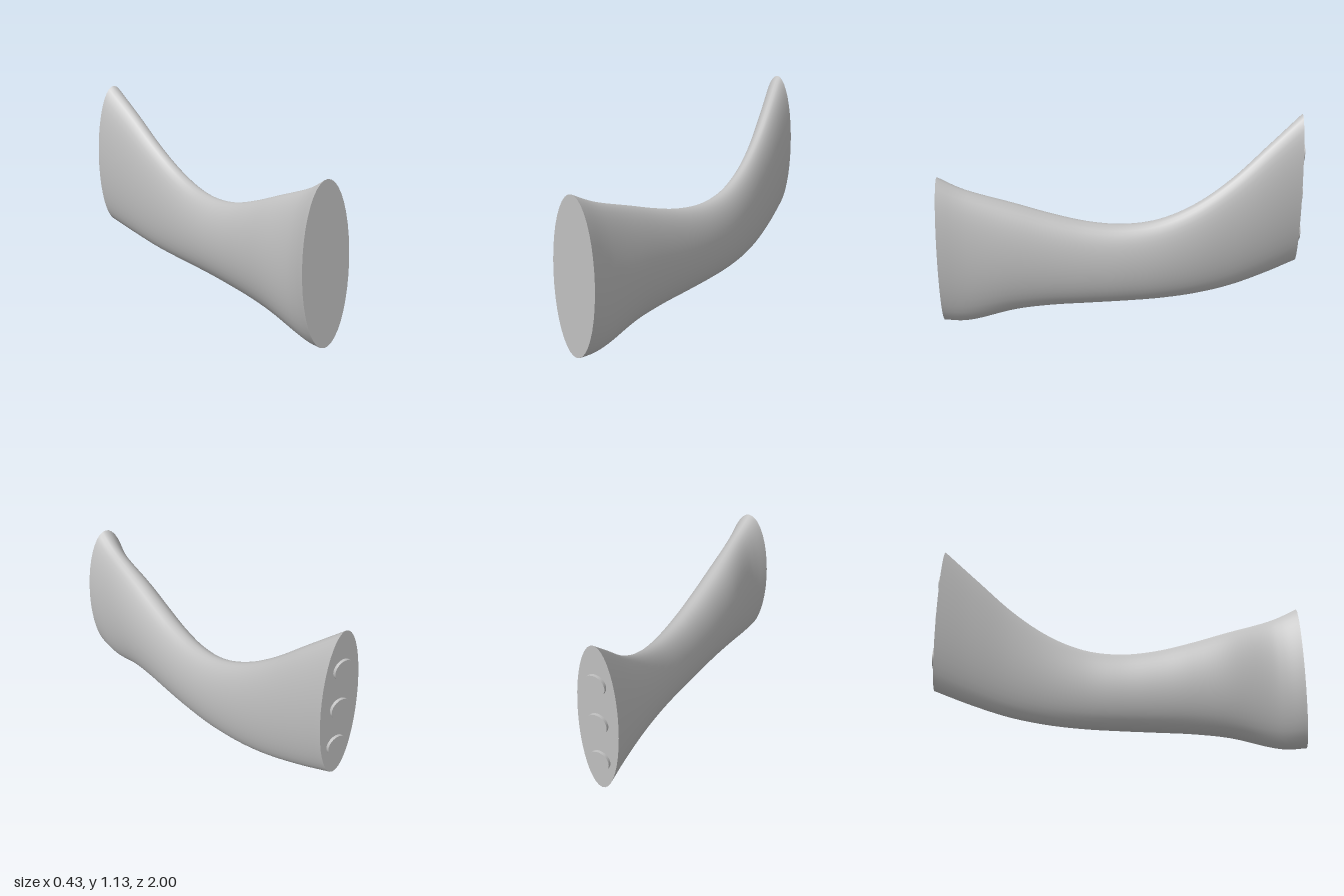
import * as THREE from 'three';

// z, left edge, right edge, bottom, top of each elliptical section
const SECTIONS = [
  [1.0, -0.065, 0.21, 0.005, 0.83],
  [0.9, -0.043, 0.2, 0.0, 0.782],
  [0.8, -0.037, 0.196, 0.015, 0.745],
  [0.6, -0.05, 0.195, 0.065, 0.685],
  [0.4, -0.045, 0.192, 0.09, 0.625],
  [0.2, -0.035, 0.188, 0.102, 0.578],
  [0.0, -0.028, 0.18, 0.112, 0.56],
  [-0.2, -0.03, 0.163, 0.122, 0.585],
  [-0.4, -0.05, 0.135, 0.139, 0.665],
  [-0.6, -0.09, 0.097, 0.17, 0.797],
  [-0.8, -0.15, 0.055, 0.222, 0.97],
  [-0.985, -0.215, 0.01, 0.28, 1.13],
];
const SIDES = 40;
const RINGS = 66;

export function createModel() {
  const grey = new THREE.MeshStandardMaterial({ color: 0xc0c0c0 });
  grey.name = 'light grey';
  const group = new THREE.Group();
  group.name = 'curvedHandle';

  const add = (name, geometry, x, y, z) => {
    const mesh = new THREE.Mesh(geometry, grey);
    mesh.name = name;
    mesh.position.set(x, y, z);
    group.add(mesh);
  };

  // smooth guide curves through the section widths and heights
  const guide = (a, b) => new THREE.CatmullRomCurve3(
    SECTIONS.map((s) => new THREE.Vector3(s[0], s[a], s[b])), false, 'catmullrom', 0.5);
  const widths = guide(1, 2);
  const heights = guide(3, 4);
  const sectionAt = (t) => {
    const w = widths.getPoint(t);
    const h = heights.getPoint(t);
    return { z: w.x, x: (w.y + w.z) / 2, y: (h.y + h.z) / 2, rx: (w.z - w.y) / 2, ry: (h.z - h.y) / 2 };
  };

  // lofted body
  const positions = [];
  const indices = [];
  for (let i = 0; i <= RINGS; i++) {
    const s = sectionAt(i / RINGS);
    for (let j = 0; j < SIDES; j++) {
      const a = (j / SIDES) * Math.PI * 2;
      positions.push(s.x + s.rx * Math.cos(a), s.y + s.ry * Math.sin(a), s.z);
      if (i === RINGS) continue;
      const p = i * SIDES + j;
      const q = i * SIDES + ((j + 1) % SIDES);
      indices.push(p, p + SIDES, q, q, p + SIDES, q + SIDES);
    }
  }
  const body = new THREE.BufferGeometry();
  body.setAttribute('position', new THREE.Float32BufferAttribute(positions, 3));
  body.setIndex(indices);
  body.computeVertexNormals();
  add('body', body, 0, 0, 0);

  // flat end faces
  const front = sectionAt(0);
  const back = sectionAt(1);
  const cap = (s) => new THREE.CircleGeometry(1, SIDES).scale(s.rx, s.ry, 1);
  add('frontFace', cap(front), front.x, front.y, front.z);
  add('backFace', cap(back).rotateY(Math.PI), back.x, back.y, back.z);

  // three round studs on the back face
  for (const y of [0.46, 0.688, 0.915]) {
    add('stud', new THREE.CylinderGeometry(0.056, 0.056, 0.025, 32).rotateX(Math.PI / 2), -0.103, y, -0.9875);
  }
  return group;
}
